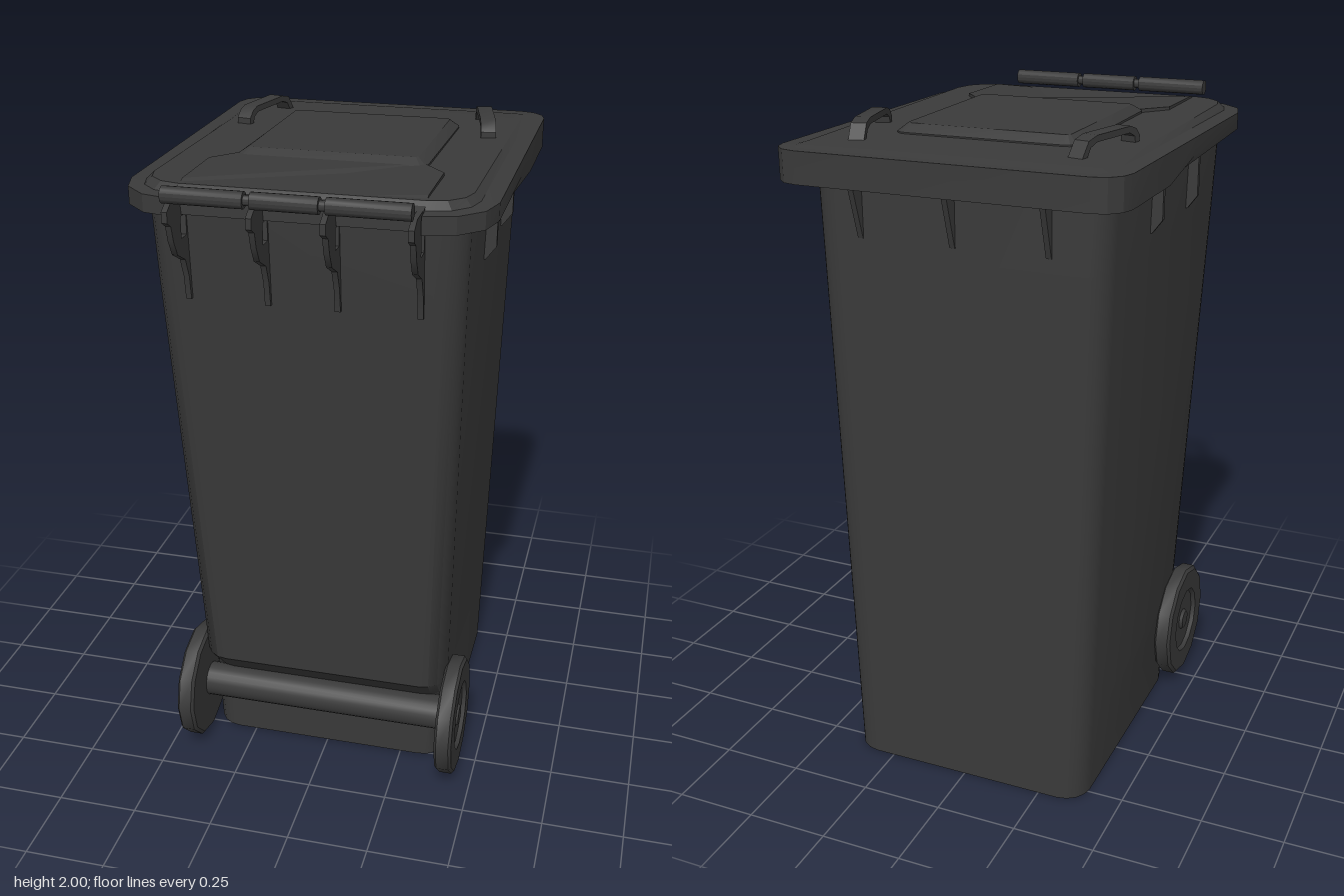
import * as THREE from 'three';
import { toCreasedNormals } from 'three/addons/utils/BufferGeometryUtils.js';

const mat = new THREE.MeshStandardMaterial({ color: 0x3a3a3a });

function add(parent, name, geometry, crease = 0.6) {
  const mesh = new THREE.Mesh(toCreasedNormals(geometry, crease), mat);
  mesh.name = name;
  parent.add(mesh);
  return mesh;
}

// Rounded outline as [x, z] pairs; corners may be elliptical at the front,
// "notch" sets the middle of the front edge back.
function outline(hx, zBack, zFront, rBack, rxFront, rzFront, seg = 3, sideZ = [], notch = 0) {
  const half = [];
  for (let i = 0; i <= seg; i++) {
    const a = (i / seg) * Math.PI / 2;
    half.push([hx - rBack + rBack * Math.sin(a), zBack + rBack - rBack * Math.cos(a)]);
  }
  for (const z of sideZ) half.push([hx, z]);
  for (let i = 0; i <= seg; i++) {
    const a = (i / seg) * Math.PI / 2;
    half.push([hx - rxFront + rxFront * Math.cos(a), zFront - rzFront + rzFront * Math.sin(a)]);
  }
  if (notch) half.push([hx - rxFront, zFront - notch]);
  return half.concat(half.map(([x, z]) => [-x, z]).reverse());
}

// Closed solid through stacked outlines; each height is a number or a rule of z.
function loft(layers) {
  const n = layers[0][0].length, pos = [], idx = [];
  for (const [ring, y] of layers)
    for (const [x, z] of ring) pos.push(x, typeof y === 'function' ? y(z) : y, z);
  for (let l = 0; l < layers.length - 1; l++)
    for (let j = 0; j < n; j++) {
      const a = l * n + j, b = l * n + (j + 1) % n;
      idx.push(a, a + n, b, b, a + n, b + n);
    }
  for (const l of [0, layers.length - 1]) {
    const ring = layers[l][0];
    const faces = THREE.ShapeUtils.triangulateShape(ring.map(([x, z]) => new THREE.Vector2(x, z)), []);
    for (const [a, b, c] of faces) {
      const up = (ring[b][1] - ring[a][1]) * (ring[c][0] - ring[a][0])
               - (ring[b][0] - ring[a][0]) * (ring[c][1] - ring[a][1]) > 0;
      const o = l * n;
      if (up === (l > 0)) idx.push(o + a, o + b, o + c);
      else idx.push(o + a, o + c, o + b);
    }
  }
  const g = new THREE.BufferGeometry();
  g.setAttribute('position', new THREE.Float32BufferAttribute(pos, 3));
  g.setIndex(idx);
  return g;
}

// Plate of given thickness, centred on its own plane.
function plate(points, thickness, hole) {
  const toV = p => p.map(([x, y]) => new THREE.Vector2(x, y));
  const shape = new THREE.Shape(toV(points));
  if (hole) shape.holes.push(new THREE.Path(toV(hole)));
  return new THREE.ExtrudeGeometry(shape, { depth: thickness, bevelEnabled: false })
    .translate(0, 0, -thickness / 2);
}
// The same, standing in the z-y plane.
const sidePlate = (points, thickness, hole) => plate(points, thickness, hole).rotateY(-Math.PI / 2);

export function createModel() {
  const bin = new THREE.Group();
  bin.name = 'wheeledBin';

  // Tapered body, stepped in at the bottom for the axle
  const levels = [[0, 0.26], [0.25, 0.27], [0.33, 0.343], [1.65, 0.483], [1.9, 0.502]];
  add(bin, 'body', loft(levels.map(([y, zf]) =>
    [outline(0.39 + 0.028 * y, -0.565, zf, 0.08, 0.08, 0.08, 4), y])));

  // Lid: flange with a stepped lower edge, raised plate on top
  const side = [-0.27, -0.05];
  const under = z => 1.885 - 0.042 * THREE.MathUtils.clamp((-0.05 - z) / 0.22, 0, 1);
  const plateTop = z => 1.951 + 0.015 * z;
  const rim = outline(0.51, -0.655, 0.567, 0.085, 0.175, 0.17, 3, side, 0.027);
  add(bin, 'lid', loft([
    [rim, under],
    [rim, 1.935],
    [outline(0.462, -0.605, 0.525, 0.03, 0.12, 0.12, 3, side, 0.001), 1.938],
    [outline(0.443, -0.585, 0.505, 0.03, 0.11, 0.11, 3, side, 0.001), plateTop],
  ]), 0.3);

  // Raised panel and the band leading from it to the hinges
  add(bin, 'lidPanel', loft([
    [outline(0.275, -0.37, 0.2, 0.035, 0.035, 0.035), 1.935],
    [outline(0.275, -0.37, 0.2, 0.035, 0.035, 0.035), z => 1.957 + 0.02 * z],
    [outline(0.247, -0.34, 0.167, 0.015, 0.015, 0.015), z => 1.977 + 0.015 * z],
  ]), 0.2);
  const bandHalf = [[0.265, 0.17], [0.335, 0.25], [0.335, 0.47], [0.335, 0.542]];
  const band = bandHalf.concat(bandHalf.map(([x, z]) => [-x, z]).reverse());
  add(bin, 'hingeBand', loft([[band, 1.9], [band, z => (z > 0.5 ? 1.937 : 1.964)]]), 0.2);

  // Hinge lugs running down into front ribs, each with a window
  const lug = [[0.46, 1.63], [0.492, 1.63], [0.502, 1.7], [0.525, 1.755], [0.58, 1.785],
    [0.605, 1.83], [0.618, 1.875], [0.642, 1.89], [0.642, 1.92], [0.605, 1.94], [0.46, 1.94]];
  const window = [[0.505, 1.82], [0.545, 1.82], [0.545, 1.88], [0.505, 1.88]];
  for (const x of [-0.325, -0.098, 0.098, 0.325])
    add(bin, 'hingeLug', sidePlate(lug, 0.016, window)).position.x = x;

  // Grab bar in three grips on a thin core
  const bar = new THREE.Group();
  bar.name = 'grabBar';
  bar.position.set(0, 1.967, 0.64);
  bin.add(bar);
  for (const [x, len, r] of [[-0.218, 0.22, 0.023], [0, 0.18, 0.023], [0.218, 0.22, 0.023], [0, 0.6, 0.014]])
    add(bar, 'barGrip', new THREE.CylinderGeometry(r, r, len, 16).rotateZ(Math.PI / 2)).position.x = x;

  // Ribs under the rim at the back
  for (const x of [-0.28, 0, 0.28])
    add(bin, 'backRib', sidePlate([[-0.55, 1.69], [-0.568, 1.69], [-0.62, 1.86], [-0.55, 1.86]], 0.016))
      .position.x = x;

  // Axle
  add(bin, 'axle', new THREE.CylinderGeometry(0.055, 0.055, 0.8, 20).rotateZ(Math.PI / 2))
    .position.set(0, 0.2, 0.283);

  const wheelProfile = [[0, 0], [0.18, 0], [0.19, 0.008], [0.19, 0.047], [0.18, 0.055], [0.112, 0.055],
    [0.105, 0.042], [0.036, 0.042], [0.03, 0.052], [0, 0.052]].map(p => new THREE.Vector2(...p));
  const ribProfile = [[0.42, 1.69], [0.442, 1.69], [0.472, 1.73], [0.472, 1.89], [0.42, 1.89]];
  // Arched strap, measured from its front foot
  const strap = [[0, 1.935], [0, 1.965], [-0.018, 1.985], [-0.045, 1.995], [-0.21, 1.995], [-0.25, 1.985],
    [-0.29, 1.93], [-0.265, 1.93], [-0.24, 1.967], [-0.21, 1.977], [-0.05, 1.977], [-0.025, 1.965], [-0.02, 1.935]];

  for (const s of [1, -1]) {
    const label = s > 0 ? 'left' : 'right';
    // Wheels
    const wheel = add(bin, label + 'Wheel', new THREE.LatheGeometry(wheelProfile, 12));
    wheel.rotation.z = -s * Math.PI / 2;
    wheel.position.set(s * 0.395, 0.2, 0.283);
    // Ribs on the sides
    for (const z of [0.13, -0.2])
      add(bin, label + 'SideRib', plate(ribProfile.map(([x, y]) => [s * x, y]), 0.016)).position.z = z;
    // Splayed lid handles
    const handle = add(bin, label + 'LidHandle', sidePlate(strap, 0.045));
    handle.position.set(s * 0.383, 0, -0.222);
    handle.rotation.y = s * 0.218;
  }
  return bin;
}
